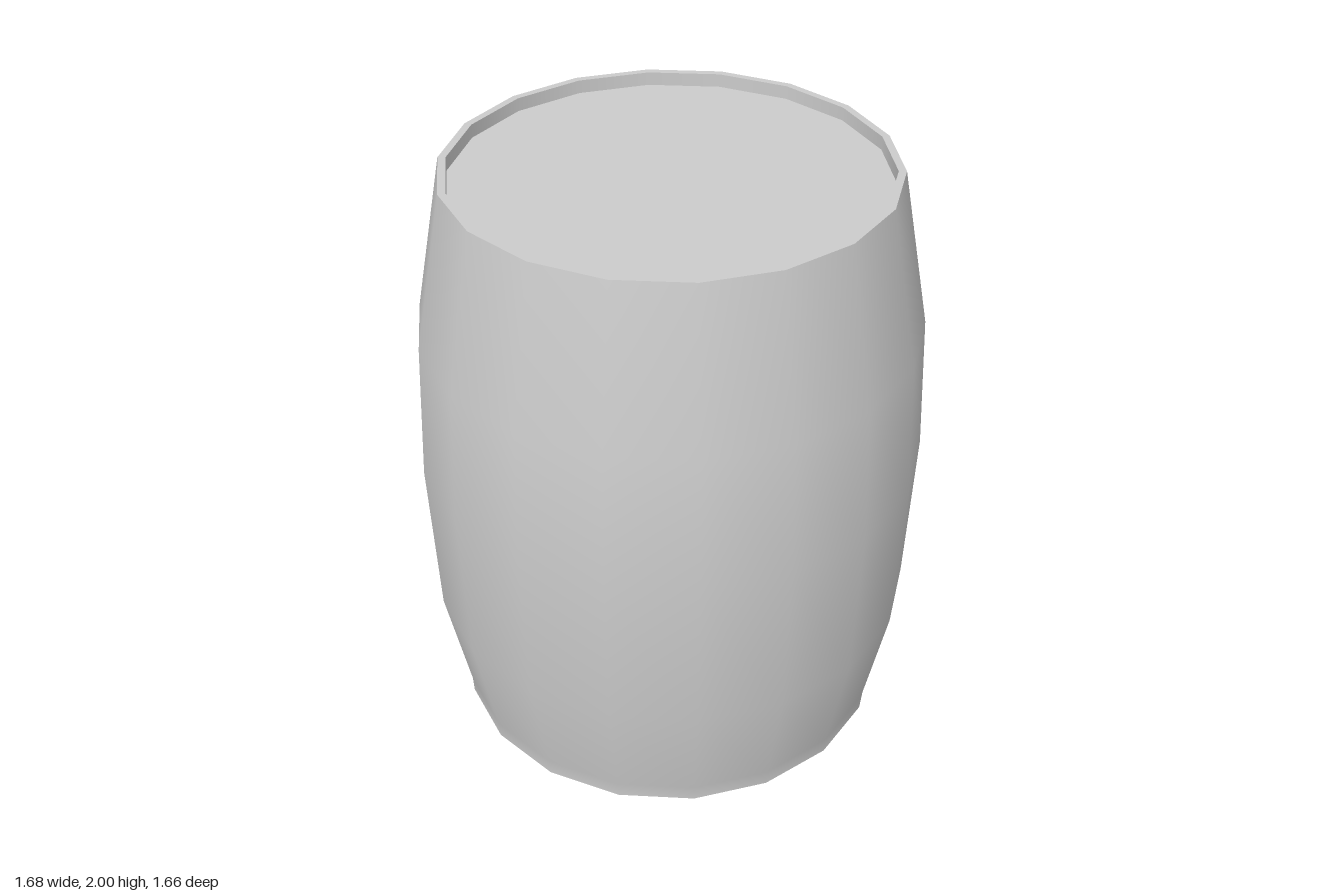
import * as THREE from 'three';

const SIDES = 18;

export function createModel() {
  const group = new THREE.Group();
  group.name = 'barrel';
  const material = new THREE.MeshStandardMaterial({ color: 0xcccccc });

  // Revolve a [radius, height] profile, with a corner on the x axis
  function ring(name, profile) {
    const points = profile.map(([r, y]) => new THREE.Vector2(r, y));
    const mesh = new THREE.Mesh(new THREE.LatheGeometry(points, SIDES, Math.PI / 2), material);
    mesh.name = name;
    group.add(mesh);
  }

  // Bulging staves, smooth all round
  ring('staves', [[0.74, 0], [0.743, 0.055], [0.82, 0.44], [0.842, 1], [0.82, 1.47], [0.72, 2]]);

  // Top rim, its inner wall and the recessed lid
  ring('topRim', [[0.72, 2], [0.695, 2]]);
  ring('topInnerWall', [[0.695, 2], [0.695, 1.955]]);
  ring('lid', [[0.695, 1.955], [0, 1.955]]);

  // Bottom rim, its inner wall and the recessed base
  ring('base', [[0, 0.04], [0.7, 0.04]]);
  ring('bottomInnerWall', [[0.7, 0.04], [0.7, 0]]);
  ring('bottomRim', [[0.7, 0], [0.74, 0]]);

  return group;
}
